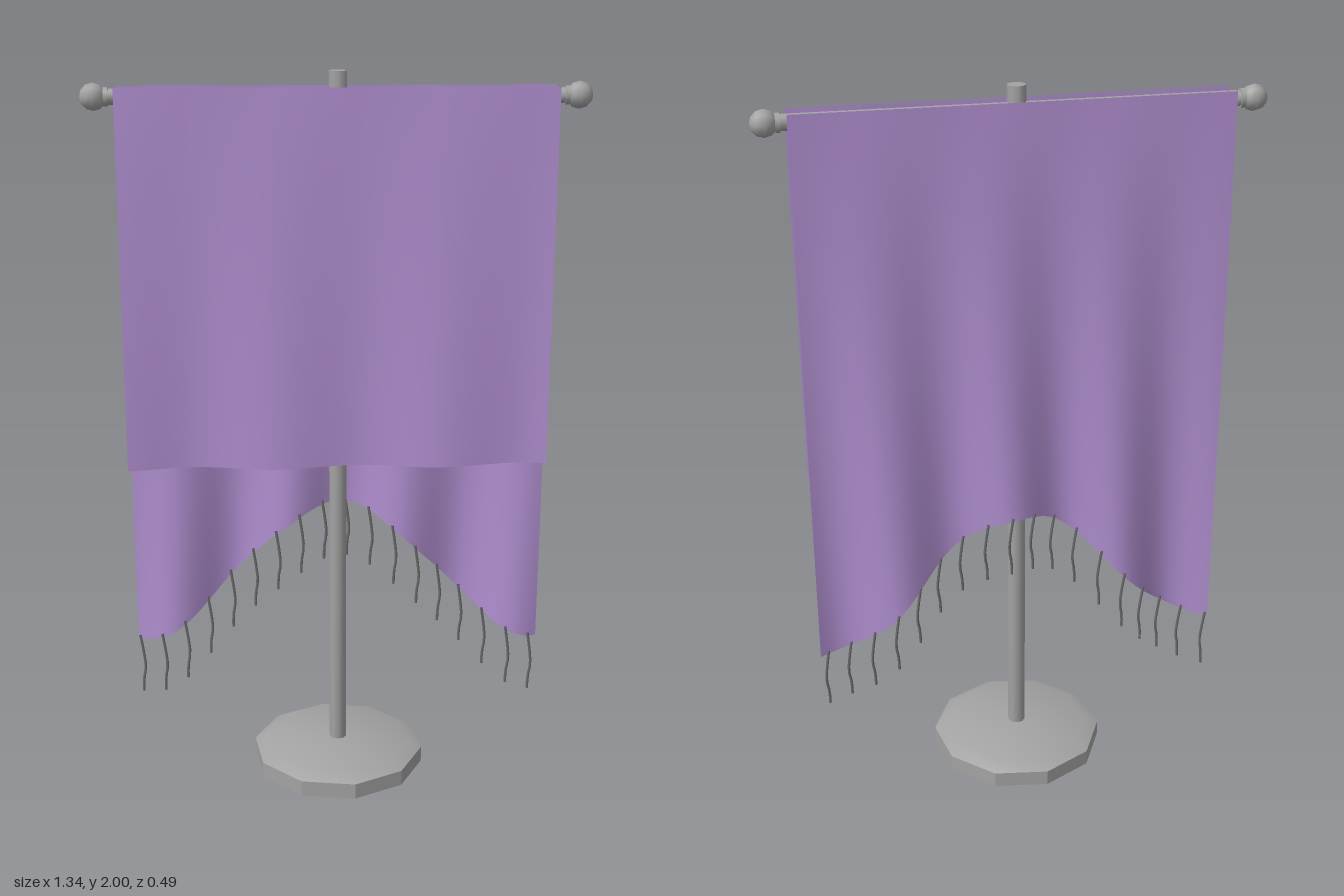
import * as THREE from 'three';
import { toCreasedNormals } from 'three/addons/utils/BufferGeometryUtils.js';

export function createModel() {
  const group = new THREE.Group();
  const metal = new THREE.MeshStandardMaterial({ color: 0xa3a3a3 });
  metal.name = 'grey metal';
  const cloth = new THREE.MeshStandardMaterial({ color: 0xb08fd0, side: THREE.DoubleSide });
  cloth.name = 'purple cloth';
  const thread = new THREE.MeshStandardMaterial({ color: 0x6c6c6c });
  thread.name = 'dark thread';

  const add = (name, geometry, material, x = 0, y = 0, z = 0) => {
    const mesh = new THREE.Mesh(geometry, material);
    mesh.name = name;
    mesh.position.set(x, y, z);
    group.add(mesh);
    return mesh;
  };

  // Ten-sided foot with a shallow domed top
  const footProfile = [[0, 0], [0.248, 0], [0.248, 0.045], [0.21, 0.064], [0, 0.072]]
    .map(([r, y]) => new THREE.Vector2(r, y));
  const foot = new THREE.LatheGeometry(footProfile, 10, 0.157);
  add('base', toCreasedNormals(foot, 0.55), metal);

  // Upright pole and crossbar
  const rod = (r, length) => toCreasedNormals(new THREE.CylinderGeometry(r, r, length, 10), 0.9);
  add('pole', rod(0.025, 1.94), metal, 0, 1.03, 0);
  const barY = 1.935;
  add('crossbar', rod(0.021, 1.24), metal, 0, barY, 0).rotation.z = Math.PI / 2;

  // Knobs with collars at both bar ends
  for (const side of [-1, 1]) {
    const knob = new THREE.SphereGeometry(0.036, 8, 6);
    add('endKnob', knob, metal, side * 0.635, barY, 0).rotation.z = Math.PI / 2;
    const collar = new THREE.CylinderGeometry(0.025, 0.025, 0.012, 10);
    add('knobCollar', collar, metal, side * 0.602, barY, 0).rotation.z = Math.PI / 2;
  }

  // Hanging cloth: folds deepen from top (t = 0) to hem (t = 1)
  const half = 0.58, top = 1.96;
  const makeCloth = (hem, depth) => {
    const geo = new THREE.PlaneGeometry(2 * half, 1, 60, 32);
    const p = geo.attributes.position;
    for (let i = 0; i < p.count; i++) {
      const x = p.getX(i), t = 0.5 - p.getY(i);
      p.setY(i, top + (hem(x) - top) * t);
      p.setZ(i, depth(x, t));
    }
    geo.computeVertexNormals();
    return geo;
  };
  const frontZ = (x, t) =>
    0.038 + t * (0.014 + 0.016 * Math.cos(2 * Math.PI * (x + 0.17) / 0.45));
  const backHem = (x) => 0.585 + 0.205 * Math.cos(Math.PI * x / half);
  const backZ = (x, t) => {
    const fold = Math.cos(2 * Math.PI * (x + 0.3 - 0.05 * (1 - t)) / 0.325);
    return -0.029 - t * (0.008 + 0.031 * fold) + 0.02 * t * (x / half) ** 4;
  };
  add('frontCloth', makeCloth(() => 0.93, frontZ), cloth);
  add('backCloth', makeCloth(backHem, backZ), cloth);

  // Wavy fringe threads along the arched hem
  const count = 18;
  for (let i = 0; i < count; i++) {
    const x = -0.572 + i * 1.13 / (count - 1);
    const path = new THREE.CatmullRomCurve3(
      [[-0.003, 0.012], [0.006, -0.05], [0.009, -0.09], [0.003, -0.13], [0.002, -0.168]]
        .map(([dx, dy]) => new THREE.Vector3(dx, dy, 0)));
    add('fringeThread', new THREE.TubeGeometry(path, 8, 0.004, 5), thread,
      x, backHem(x), backZ(x, 1));
  }
  return group;
}
